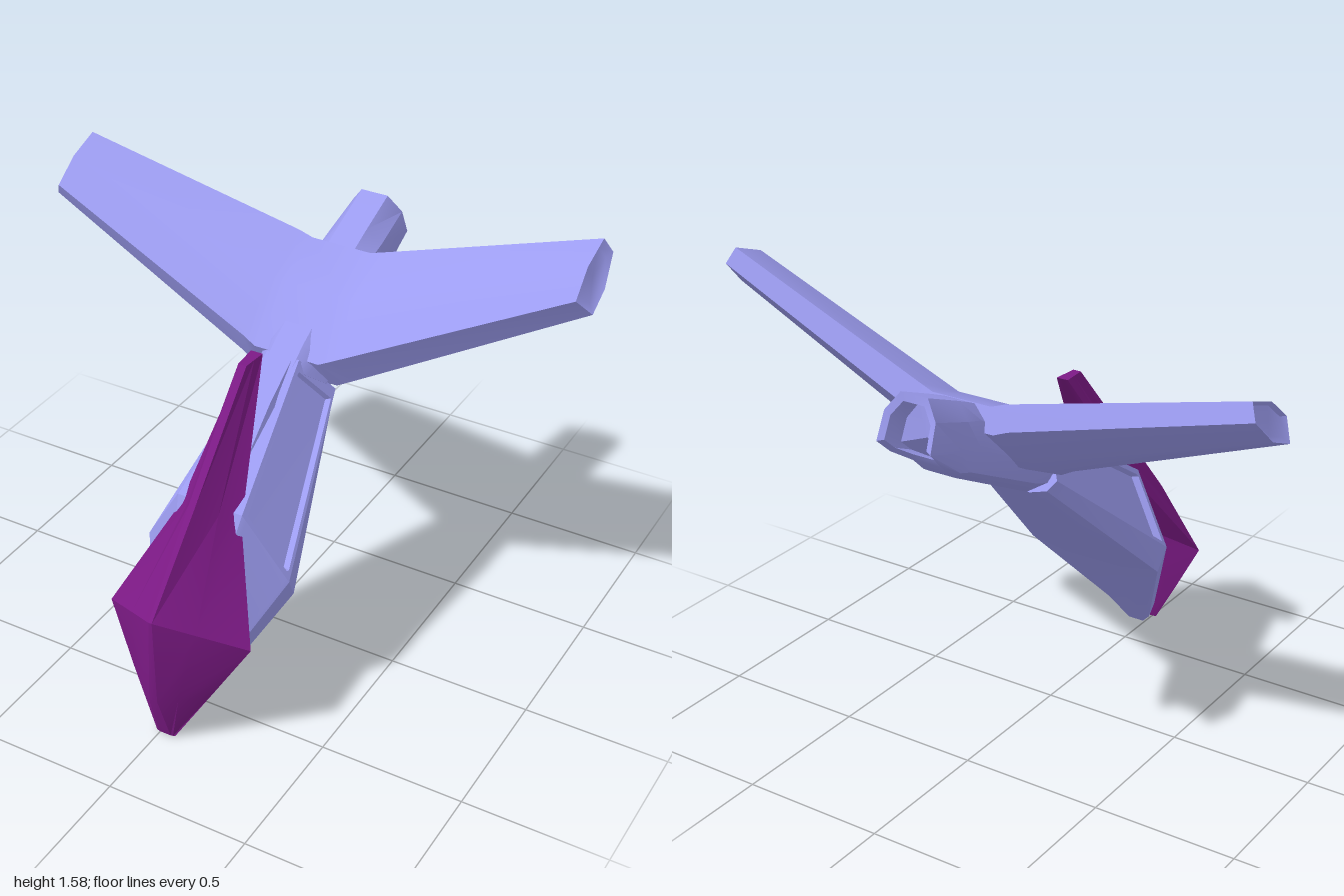
import * as THREE from 'three';
import { toCreasedNormals } from 'three/addons/utils/BufferGeometryUtils.js';

const C = 0.02; // x of the centre line
const lerp = (a, b, t) => a.map((v, i) => v + (b[i] - v) * t);

// Full ring from half a section, listed top to bottom as [half width, y, z]
const ring = half => [
  ...half.map(([w, y, z]) => [C + w, y, z]),
  ...half.slice().reverse().map(([w, y, z]) => [C - w, y, z]),
];

// Skin through equal-length rings with capped ends, turned to face outwards
function loft(rings, crease) {
  const tris = [], n = rings[0].length;
  for (let r = 0; r < rings.length - 1; r++) {
    for (let i = 0; i < n; i++) {
      const j = (i + 1) % n, a = rings[r], b = rings[r + 1];
      tris.push([a[i], a[j], b[j]], [a[i], b[j], b[i]]);
    }
  }
  const cap = (pts, flip) => {
    const mid = pts.reduce((s, p) => s.map((v, k) => v + p[k] / n), [0, 0, 0]);
    pts.forEach((p, i) => {
      const q = pts[(i + 1) % n];
      tris.push(flip ? [mid, q, p] : [mid, p, q]);
    });
  };
  cap(rings[0], true);
  cap(rings[rings.length - 1], false);
  let volume = 0;
  const v = p => new THREE.Vector3(...p);
  for (const [a, b, c] of tris) volume += v(a).dot(v(b).cross(v(c)));
  if (volume < 0) tris.forEach(t => t.reverse());
  const geo = new THREE.BufferGeometry();
  geo.setAttribute('position', new THREE.Float32BufferAttribute(tris.flat(2), 3));
  return toCreasedNormals(geo, crease);
}

// Hull half section; d sinks the side panel between its rims
function hullHalf([top, side, low, base], d = 0) {
  const sink = p => [p[0] - d * 0.85, p[1] - d * 0.3, p[2] - d * 0.3];
  return [
    top, lerp(top, side, 0.08), sink(lerp(top, side, 0.1)),
    sink(lerp(top, side, 0.92)), lerp(top, side, 0.95), side, low, base,
  ];
}

export function createModel() {
  const group = new THREE.Group();
  const blue = new THREE.MeshStandardMaterial({ color: 0x9c9cf0, side: THREE.DoubleSide });
  const purple = new THREE.MeshStandardMaterial({ color: 0x7d1a86, side: THREE.DoubleSide });
  const add = (name, geometry, material) => {
    const mesh = new THREE.Mesh(geometry, material);
    mesh.name = name;
    group.add(mesh);
  };

  // Forward hull with a sunken panel on each side
  const tip = [[0.04, 0.14, 0.655], [0.06, 0.09, 0.64], [0.05, 0.04, 0.62], [0.03, 0.02, 0.61]];
  const wide = [[0.12, 0.74, 0.4], [0.268, 0.5, 0.355], [0.26, 0.42, 0.31], [0.12, 0.395, 0.31]];
  const neck = [[0.06, 1.05, -0.07], [0.15, 0.92, -0.16], [0.13, 0.89, -0.19], [0.07, 0.875, -0.2]];
  const between = (t, d) => ring(hullHalf(wide.map((p, i) => lerp(p, neck[i], t)), d));
  add('hull', loft([
    ring(hullHalf(tip)), between(0), between(0.03), between(0.045, 0.022),
    between(0.925, 0.022), between(0.94), between(1),
  ], 0.45), blue);

  // Raised spine along the top of the hull
  add('spine', loft([
    ring([[0.05, 0.745, 0.37], [0.09, 0.71, 0.37]]),
    ring([[0.045, 0.97, 0.09], [0.07, 0.92, 0.07]]),
    ring([[0.035, 1.05, -0.07], [0.05, 1.0, -0.09]]),
  ], 0.4), blue);

  // Aft fuselage, ending in a recessed outlet
  const tail = [[0.05, 1.37, -0.7], [0.095, 1.31, -0.725], [0.1, 1.22, -0.762], [0.09, 1.17, -0.71], [0.05, 1.13, -0.65]];
  const tailMid = [0, 1.245, -0.715];
  const mouth = tail.map(p => lerp(p, tailMid, 0.22));
  add('fuselage', loft([
    [[0.05, 1.03, -0.04], [0.09, 1.0, -0.07], [0.13, 0.95, -0.13], [0.12, 0.91, -0.17], [0.06, 0.875, -0.2]],
    [[0.05, 1.08, -0.11], [0.1, 1.05, -0.13], [0.14, 0.98, -0.19], [0.12, 0.93, -0.23], [0.06, 0.9, -0.25]],
    [[0.05, 1.28, -0.48], [0.1, 1.24, -0.5], [0.12, 1.16, -0.53], [0.1, 1.09, -0.56], [0.05, 1.065, -0.575]],
    [[0.05, 1.31, -0.55], [0.1, 1.26, -0.57], [0.1, 1.17, -0.6], [0.09, 1.1, -0.6], [0.05, 1.08, -0.6]],
    tail,
    mouth,
    mouth.map(([w, y, z]) => [w * 0.9, y - 0.03, z + 0.07]),
  ].map(ring), 0.6), blue);

  // Swept-up wings in one span, the left tip slightly higher than the right
  const wingRoot = [
    [0.12, 1.04, -0.09], [0.1, 1.2, -0.27], [0.11, 1.275, -0.465],
    [0.14, 1.2, -0.5], [0.15, 1.03, -0.34], [0.16, 0.94, -0.15],
  ];
  const wingTip = [
    [0.96, 1.46, -0.2], [0.955, 1.535, -0.29], [0.955, 1.577, -0.41],
    [0.98, 1.525, -0.435], [0.995, 1.44, -0.35], [1, 1.4, -0.25],
  ];
  // Fillet ring where the wing flares into the fuselage
  const flare = wingRoot.map((p, i) => {
    const q = lerp(p, wingTip[i], 0.06);
    return [q[0], q[1] - (i === 1 ? 0.02 : 0), q[2]];
  });
  const onSide = (pts, s) => pts.map(([x, y, z]) => [C + s * x, y, z]);
  // Tips end in a shallow hollow
  const tipMid = [0.965, 1.49, -0.32];
  const hollow = wingTip.map(p => { const q = lerp(p, tipMid, 0.25); return [q[0] - 0.01, q[1], q[2]]; });
  const rightTip = pts => pts.map(([x, y, z]) => [-x, y - 0.1, z - 0.02]);
  add('wings', loft([
    hollow, wingTip, onSide(flare, 1), onSide(wingRoot, 1),
    onSide(wingRoot, -1), onSide(flare, -1), rightTip(wingTip), rightTip(hollow),
  ], 0.75), blue);

  // Pointed front shield: ridge, shoulder, outer edge and back of each section
  add('shield', loft([
    [[0.02, 0, 0.702], [0.028, 0, 0.7], [0.035, 0, 0.698], [0, 0, 0.695]],
    [[0.015, 0.19, 0.765], [0.07, 0.19, 0.725], [0.15, 0.192, 0.65], [0, 0.19, 0.66]],
    [[0.006, 0.51, 0.765], [0.12, 0.455, 0.69], [0.265, 0.385, 0.595], [0, 0.4, 0.62]],
    [[0.012, 0.8, 0.505], [0.06, 0.745, 0.445], [0.115, 0.7, 0.395], [0, 0.72, 0.42]],
    [[0.015, 1.153, 0.19], [0.018, 1.153, 0.145], [0.022, 1.153, 0.1], [0, 1.153, 0.1]],
  ].map(ring), 0.35), purple);

  return group;
}
